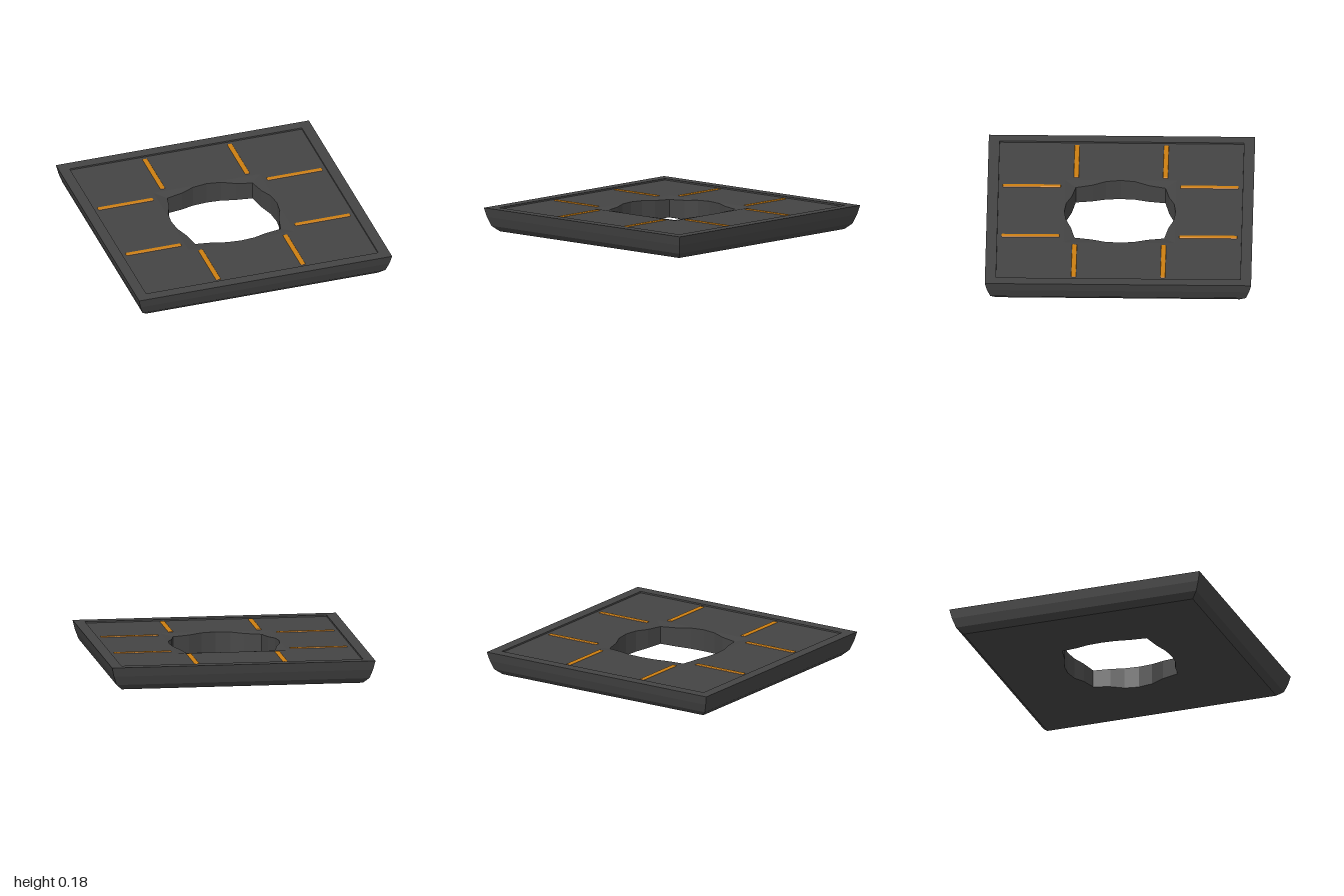
import * as THREE from 'three';
import { RoundedBoxGeometry } from 'three/addons/geometries/RoundedBoxGeometry.js';

const charcoal = new THREE.MeshStandardMaterial({ name: 'charcoal', color: 0x444444, flatShading: true });
const amber = new THREE.MeshStandardMaterial({ name: 'amber', color: 0xcc7e11 });

// One side of the scalloped opening: position along the side, distance from centre
const SCALLOP = [[-0.337, 0.337], [-0.21, 0.365], [-0.11, 0.405], [0, 0.418], [0.11, 0.405], [0.21, 0.365]];
const CORNER = 0.337, OPENING = 0.42, TOP = 0.18, PANEL = 0.169;

// Repeats one side's points around the four sides
function fourSides(points) {
  const loop = [];
  for (let side = 0; side < 4; side++) {
    for (const [t, r, y] of points) {
      let x = t, z = -r;
      for (let k = 0; k < side; k++) [x, z] = [-z, x];
      loop.push([x, y, z]);
    }
  }
  return loop;
}

const squareLoop = (half, y) => fourSides(SCALLOP.map(([t]) => [t / CORNER * half, half, y]));

// Scalloped edge leaves the flat face by a small slope that grows to the corners
const scallopLoop = (y, slope) =>
  fourSides(SCALLOP.map(([t, r]) => [t, r, y + slope * (OPENING - r) / (OPENING - CORNER)]));

// Joins the loops into a closed ring
function loftRing(loops) {
  const positions = [];
  const n = loops[0].length;
  loops.forEach((lower, j) => {
    const upper = loops[(j + 1) % loops.length];
    for (let i = 0; i < n; i++) {
      const k = (i + 1) % n;
      const a = lower[i], b = lower[k], c = upper[k], d = upper[i];
      positions.push(...a, ...d, ...c, ...a, ...c, ...b);
    }
  });
  const geometry = new THREE.BufferGeometry();
  geometry.setAttribute('position', new THREE.Float32BufferAttribute(positions, 3));
  geometry.computeVertexNormals();
  return geometry;
}

export function createModel() {
  const model = new THREE.Group();
  model.name = 'squarePlate';

  // Slab: curved outer sides, rim, recessed panel, scalloped opening, underside
  const slab = new THREE.Mesh(loftRing([
    squareLoop(0.915, 0),
    squareLoop(0.96, 0.042),
    squareLoop(0.984, 0.11),
    squareLoop(1, TOP),
    squareLoop(0.918, TOP),
    squareLoop(0.917, PANEL),
    squareLoop(OPENING, PANEL),
    scallopLoop(PANEL, -0.014),
    scallopLoop(0, 0.02),
    squareLoop(OPENING, 0),
  ]), charcoal);
  slab.name = 'slab';
  model.add(slab);

  // Two marking strips on each side of the opening
  const stripGeometry = new RoundedBoxGeometry(0.038, 0.018, 0.438, 2, 0.008);
  for (let side = 0; side < 4; side++) {
    const pair = new THREE.Group();
    pair.name = 'stripPair';
    pair.rotation.y = side * Math.PI / 2;
    for (const s of [-1, 1]) {
      const strip = new THREE.Mesh(stripGeometry, amber);
      strip.name = 'markingStrip';
      strip.position.set(s * 0.335, PANEL - 0.003, 0.668);
      pair.add(strip);
    }
    model.add(pair);
  }
  return model;
}
